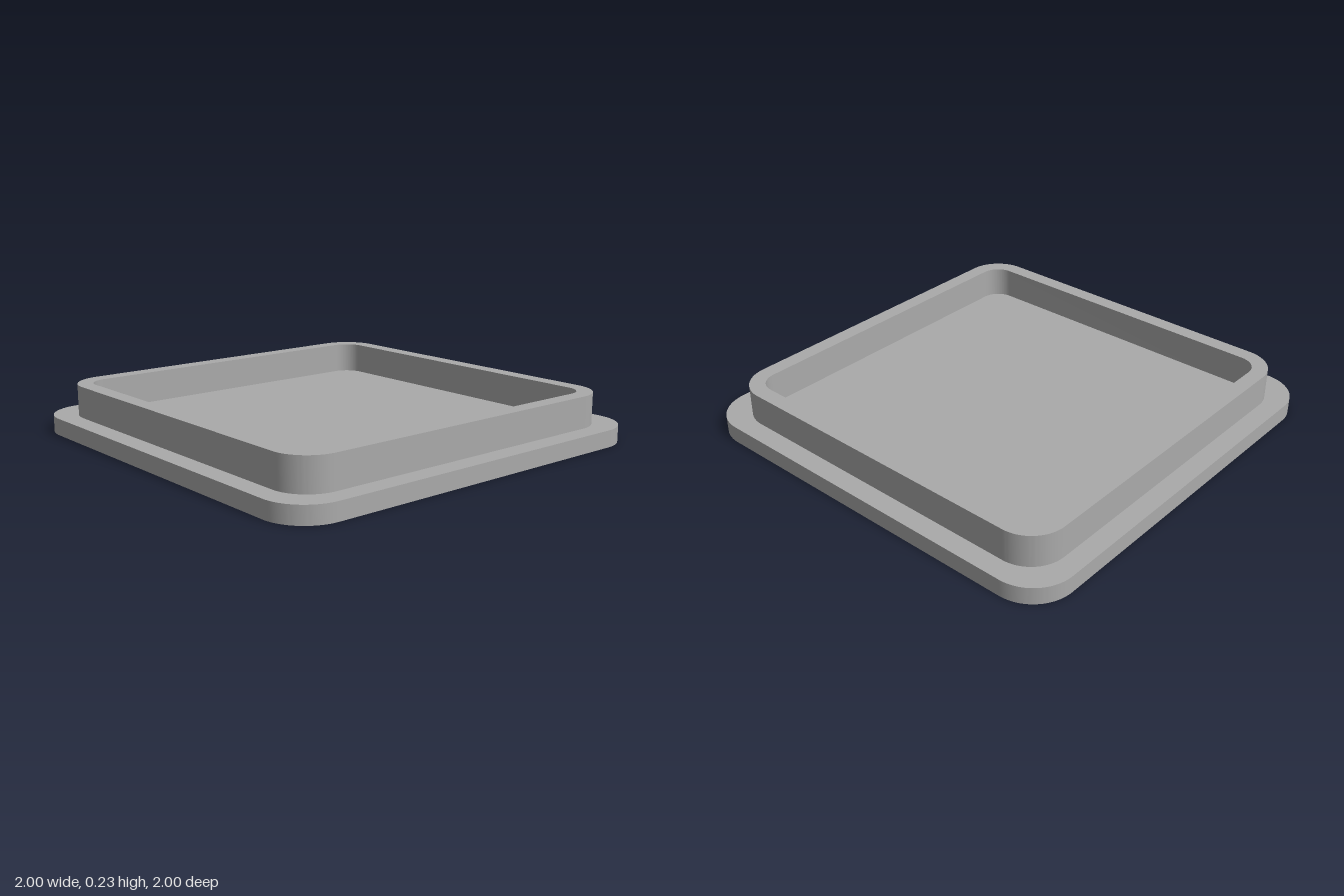
import * as THREE from 'three';
import { toCreasedNormals } from 'three/addons/utils/BufferGeometryUtils.js';

// Rounded square outline centred on the origin
function roundedSquare(path, half, radius) {
  const c = half - radius;
  path.moveTo(c, -half);
  path.absarc(c, -c, radius, -Math.PI / 2, 0);
  path.absarc(c, c, radius, 0, Math.PI / 2);
  path.absarc(-c, c, radius, Math.PI / 2, Math.PI);
  path.absarc(-c, -c, radius, Math.PI, Math.PI * 1.5);
  path.closePath();
  return path;
}

// Upright slab from y = bottom to y = top, smooth round corners and sharp rims
function slab(name, shape, bottom, top, material) {
  const extruded = new THREE.ExtrudeGeometry(shape, {
    depth: top - bottom, bevelEnabled: false, curveSegments: 16,
  });
  extruded.rotateX(-Math.PI / 2).translate(0, bottom, 0);
  const mesh = new THREE.Mesh(toCreasedNormals(extruded, Math.PI / 6), material);
  mesh.name = name;
  return mesh;
}

export function createModel() {
  const group = new THREE.Group();
  group.name = 'squareLid';
  const grey = new THREE.MeshStandardMaterial({ color: 0xaaaaaa });
  grey.name = 'grey';

  // Flat base plate, whose top is also the floor of the recess
  const plate = roundedSquare(new THREE.Shape(), 1, 0.2);
  group.add(slab('basePlate', plate, 0, 0.08, grey));

  // Raised wall standing inside the plate's edge
  const wall = roundedSquare(new THREE.Shape(), 0.905, 0.17);
  wall.holes.push(roundedSquare(new THREE.Path(), 0.83, 0.095));
  group.add(slab('raisedWall', wall, 0.08, 0.23, grey));

  return group;
}
